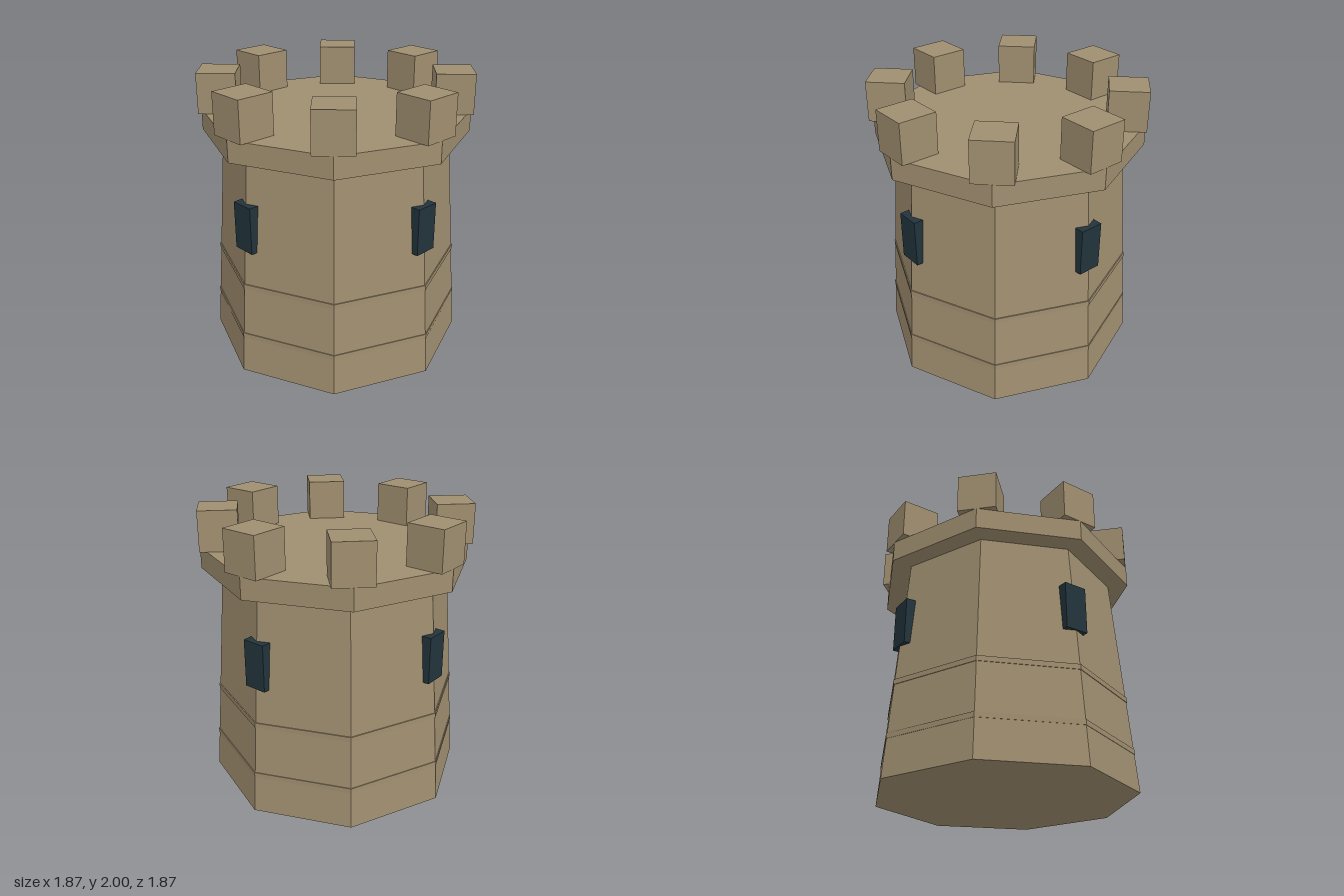
import * as THREE from 'three';

export function createModel() {
  const tower = new THREE.Group();
  tower.name = 'tower';
  const stone = new THREE.MeshStandardMaterial({ color: 0xa08f70, flatShading: true });
  stone.name = 'stone';
  const dark = new THREE.MeshStandardMaterial({ color: 0x22343c, flatShading: true });
  dark.name = 'windowDark';

  const add = (name, geometry, material, x, y, z, turn = 0) => {
    const mesh = new THREE.Mesh(geometry, material);
    mesh.name = name;
    mesh.position.set(x, y, z);
    mesh.rotation.y = turn;
    tower.add(mesh);
  };

  // Eight-sided drum with corners on the axes
  const drum = (name, rTop, rBottom, y0, y1) =>
    add(name, new THREE.CylinderGeometry(rTop, rBottom, y1 - y0, 8), stone, 0, (y0 + y1) / 2, 0);

  drum('wall', 0.79, 0.91, 0, 1.575);
  drum('lowerBand', 0.893, 0.893, 0.263, 0.299);
  drum('upperBand', 0.866, 0.866, 0.64, 0.676);
  drum('parapet', 0.933, 0.933, 1.57, 1.72);

  // Battlements, one above each corner
  const merlon = new THREE.BoxGeometry(0.264, 0.28, 0.264);
  for (let i = 0; i < 8; i++) {
    const a = (i * Math.PI) / 4;
    add('merlon', merlon, stone, Math.sin(a) * 0.798, 1.86, Math.cos(a) * 0.798, a);
  }

  // Windows wrapped over the four axis corners
  const pane = new THREE.BoxGeometry(0.166, 0.33, 0.1);
  for (let i = 0; i < 4; i++) {
    const a = (i * Math.PI) / 2;
    add('window', pane, dark, Math.sin(a) * 0.798, 1.09, Math.cos(a) * 0.798, a);
  }
  return tower;
}
